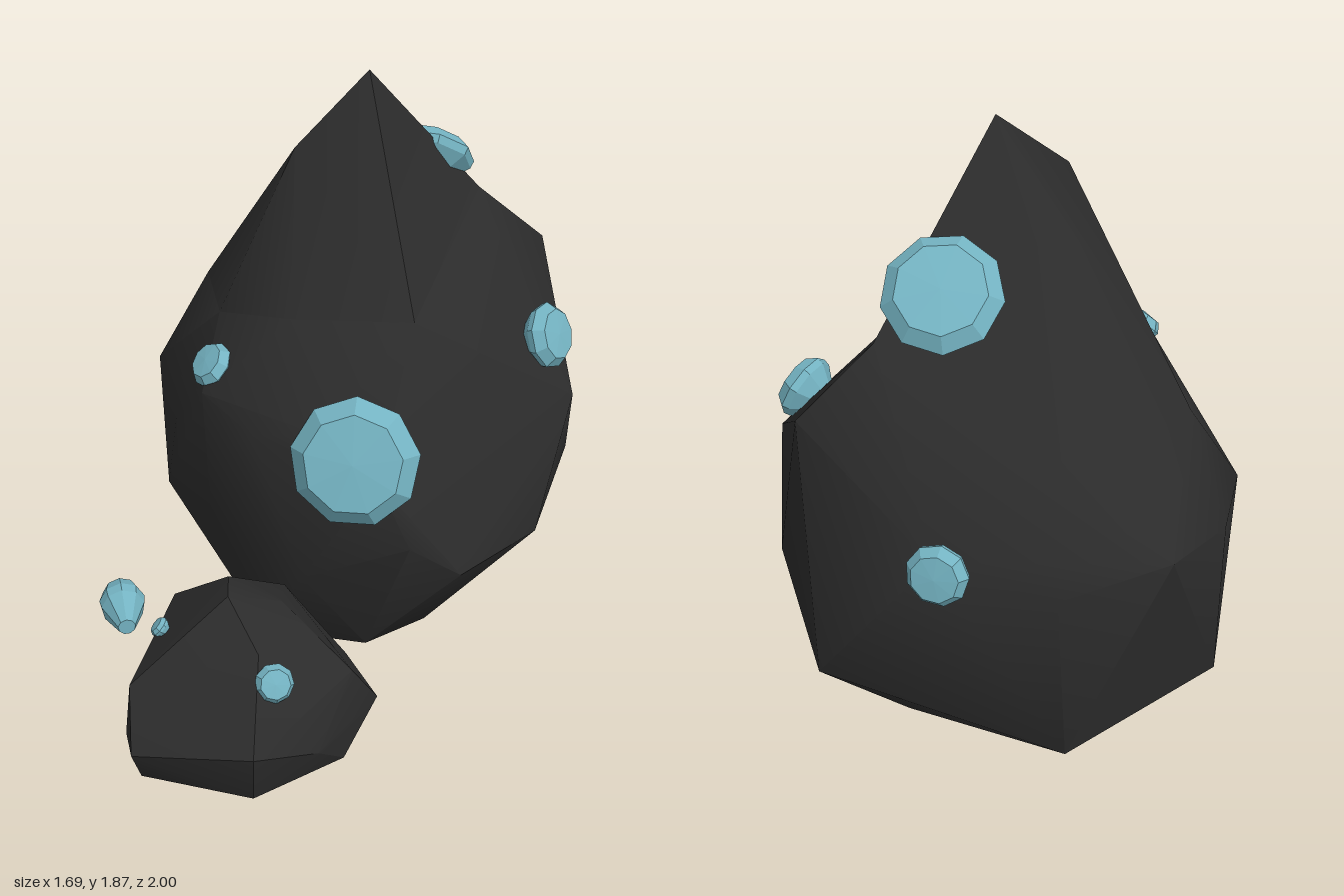
import * as THREE from 'three';
import { ConvexGeometry } from 'three/addons/geometries/ConvexGeometry.js';
import { mergeGeometries, toCreasedNormals } from 'three/addons/utils/BufferGeometryUtils.js';

const rockMaterial = new THREE.MeshStandardMaterial({ color: 0x2b2b2b });
const crystalMaterial = new THREE.MeshStandardMaterial({ color: 0x74b3c2, flatShading: true });

const hull = (corners) => new ConvexGeometry(corners.map((c) => new THREE.Vector3(...c)));

function addRock(parent, name, hulls, crease) {
  const geometry = toCreasedNormals(mergeGeometries(hulls), crease);
  const mesh = new THREE.Mesh(geometry, rockMaterial);
  mesh.name = name;
  parent.add(mesh);
}

// Faceted gem: wide flat table on top, girdle, blunt point underneath
const gemProfile = [[0, -1], [0.38, -1], [0.95, -0.1], [1, 0.2], [0.76, 0.65], [0, 0.72]]
  .map(([x, y]) => new THREE.Vector2(x, y));
const gemGeometry = new THREE.LatheGeometry(gemProfile, 9);

function addCrystal(parent, name, position, normal, radius, depth, squash = 1) {
  const mesh = new THREE.Mesh(gemGeometry, crystalMaterial);
  mesh.name = name;
  mesh.position.set(...position);
  mesh.quaternion.setFromUnitVectors(
    new THREE.Vector3(0, 1, 0), new THREE.Vector3(...normal).normalize());
  mesh.scale.set(radius * squash, depth, radius);
  parent.add(mesh);
}

export function createModel() {
  const model = new THREE.Group();
  model.name = 'crystalRocks';

  // Large boulder: rim where the peak springs from the body
  const rim = [
    [0.19, 1.17, 0.19], [-0.18, 1.17, 0.08], [-0.37, 1.1, -0.15], [-0.34, 1.02, -0.6],
    [0, 1.01, -0.79], [0.3, 1.07, -0.7], [0.58, 1.33, -0.42],
  ];
  const peak = [[0.13, 1.87, -0.18], [-0.12, 1.66, -0.12]];
  const shoulder = [
    [-0.34, 0.86, 0.24], [-0.15, 0.91, 0.36], [-0.47, 0.94, 0.08], [0.82, 1.12, -0.42],
    [0.77, 0.78, 0.1], [-0.12, 0.79, -1], [0.22, 0.72, -0.97], [0.54, 0.83, -0.82],
    [-0.36, 0.75, -0.84], [-0.53, 0.72, -0.57], [-0.53, 0.72, -0.15], [0, 0.8, 0.49],
  ];
  const belly = [
    [0.1, 0.55, 0.52], [0.28, 0.4, 0.49], [0.59, 0.4, 0.31], [0.84, 0.44, -0.1],
    [0.84, 0.33, -0.59], [-0.22, 0.4, 0.39], [-0.46, 0.5, 0.09], [-0.56, 0.42, -0.22],
  ];
  const foot = [
    [0.68, 0.08, -0.11], [0.56, 0.08, -0.57], [0.17, 0.08, -0.92], [-0.43, 0.07, -0.7],
    [-0.42, 0.05, -0.37], [-0.3, 0.03, 0.17], [-0.1, 0.04, 0.26], [0, 0.07, 0.36],
    [0.22, 0.08, 0.29],
  ];
  addRock(model, 'largeRock',
    [hull([...rim, ...shoulder, ...belly, ...foot]), hull([...peak, ...rim])], 0.8);

  // Small boulder leaning in front
  addRock(model, 'smallRock', [hull([
    [-0.49, 0.54, 0.61], [-0.47, 0.53, 0.5], [-0.32, 0.47, 0.58], [-0.43, 0.44, 0.78],
    [-0.81, 0.33, 0.7], [-0.14, 0.31, 0.76], [-0.62, 0.36, 0.33], [-0.27, 0.36, 0.36],
    [-0.83, 0.13, 0.68], [-0.83, 0.17, 0.83], [-0.49, 0.23, 0.995], [-0.28, 0.15, 0.92],
    [-0.04, 0.12, 0.68], [-0.1, 0.16, 0.5], [-0.42, 0.16, 0.17], [-0.74, 0.18, 0.45],
    [-0.8, 0.03, 0.77], [-0.49, 0.06, 0.97], [-0.18, 0.02, 0.82], [-0.1, 0.02, 0.62],
    [-0.3, 0.01, 0.3], [-0.45, 0.02, 0.25], [-0.68, 0.0, 0.5],
  ])], 0.5);

  // Crystals set into the boulders: position, facing, radius, depth, squash
  addCrystal(model, 'frontCrystal', [-0.045, 0.825, 0.395], [-0.33, 0.37, 0.86], 0.205, 0.125);
  addCrystal(model, 'leftCrystal', [0.7, 0.96, 0], [0.6, 0.4, 0.65], 0.112, 0.075, 0.95);
  addCrystal(model, 'upperCrystal', [0.375, 1.455, -0.435], [0.3, 0.7, -0.62], 0.18, 0.09);
  addCrystal(model, 'rightCrystal', [-0.415, 0.985, 0], [-0.65, 0.7, 0.15], 0.085, 0.065, 0.9);
  addCrystal(model, 'backCrystal', [0.53, 0.81, -0.845], [0.55, 0.2, -0.8], 0.094, 0.065);
  addCrystal(model, 'smallRockFrontCrystal', [-0.395, 0.37, 0.83], [0, 0.5, 0.85], 0.06, 0.055);
  addCrystal(model, 'smallRockSideCrystal', [-0.69, 0.39, 0.525], [-0.7, 0.65, -0.2], 0.033, 0.028);

  // Loose gem behind the small boulder
  addCrystal(model, 'looseCrystal', [-0.775, 0.19, 0.135], [0, 0, -1], 0.076, 0.115);
  return model;
}
